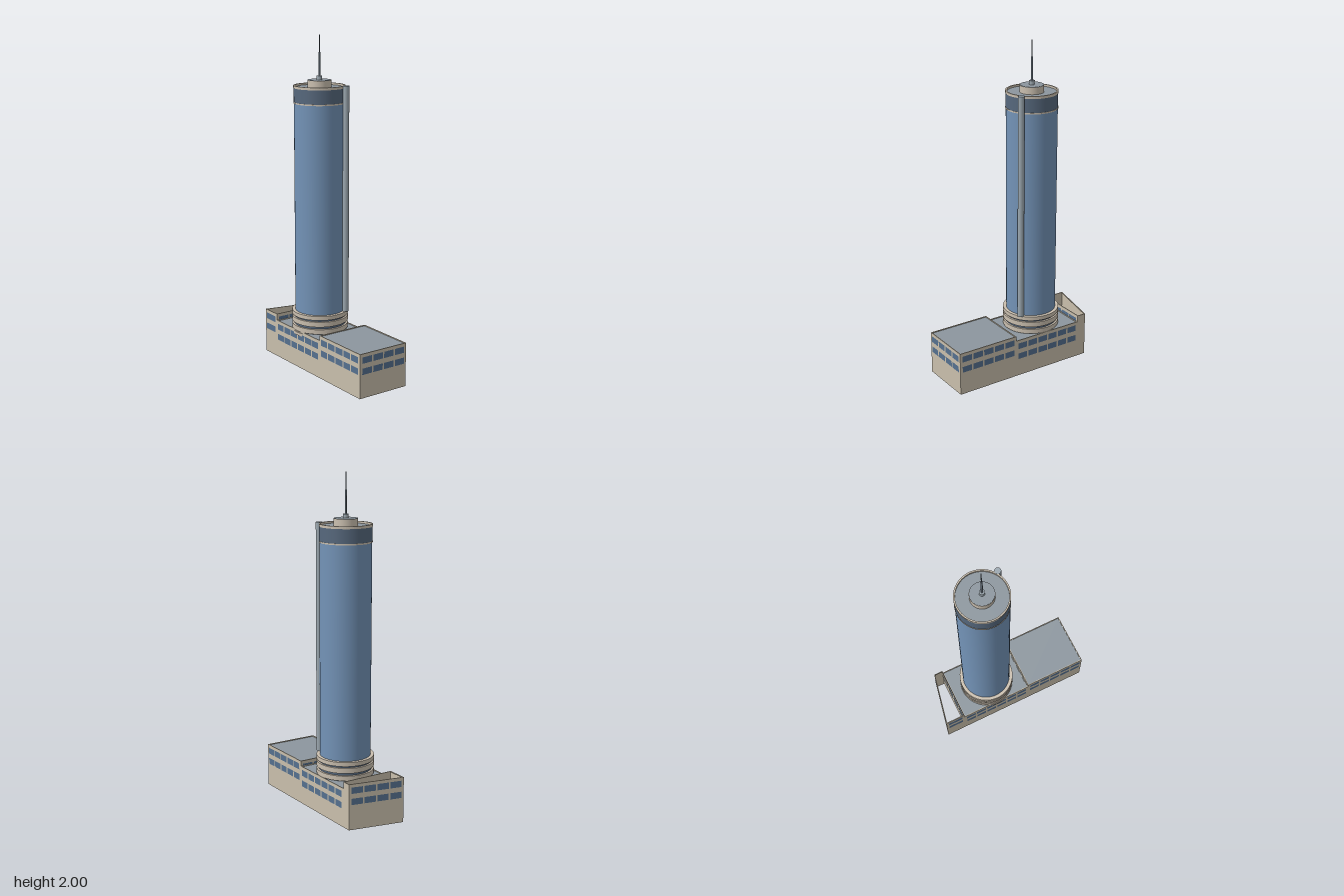
import * as THREE from 'three';

const mat = (name, color, side = THREE.FrontSide) => {
  const m = new THREE.MeshStandardMaterial({ color, side });
  m.name = name;
  return m;
};

export function createModel() {
  const wall = mat('tan wall', 0xc9bfac, THREE.DoubleSide);
  const trim = mat('pale trim', 0xcbc0b0, THREE.DoubleSide);
  const glass = mat('blue glass', 0x7393b7);
  const darkGlass = mat('dark glass', 0x56687d);
  const pane = mat('window blue', 0x55708f);
  const roofGrey = mat('roof grey', 0x8c969e, THREE.DoubleSide);
  const pipeGrey = mat('pipe grey', 0x9ca8b0);
  const steel = mat('mast steel', 0x66727d);

  const model = new THREE.Group();
  const add = (parent, name, geo, material, x = 0, y = 0, z = 0, ry = 0) => {
    const m = new THREE.Mesh(geo, material);
    m.name = name;
    m.position.set(x, y, z);
    m.rotation.y = ry;
    parent.add(m);
    return m;
  };

  // One wall between two plan corners, with coping and two rows of windows
  function buildWall(parent, [ax, az], [bx, bz], h) {
    const len = Math.hypot(bx - ax, bz - az);
    const side = new THREE.Group();
    side.name = 'wall';
    side.position.set((ax + bx) / 2, 0, (az + bz) / 2);
    side.rotation.y = Math.atan2(az - bz, bx - ax);
    parent.add(side);
    add(side, 'wallPanel', new THREE.PlaneGeometry(len, h), wall, 0, h / 2);
    add(side, 'coping', new THREE.BoxGeometry(len, 0.006, 0.005), wall, 0, h - 0.003, -0.0025);
    const gap = 0.01, usable = len - 0.03, n = Math.round(usable / 0.075);
    const w = (usable - gap * (n - 1)) / n;
    for (let i = 0; i < n; i++) {
      const x = -usable / 2 + w / 2 + i * (w + gap);
      for (const drop of [0.038, 0.105]) {
        add(side, 'window', new THREE.PlaneGeometry(w, 0.038), pane, x, h - drop, 0.002);
      }
    }
  }

  // A hollow block from its plan outline, with an optional flat roof
  function buildBlock(name, corners, h, roofed) {
    const block = new THREE.Group();
    block.name = name;
    model.add(block);
    corners.forEach((c, i) => buildWall(block, c, corners[(i + 1) % corners.length], h));
    if (roofed) {
      const shape = new THREE.Shape(corners.map(([x, z]) => new THREE.Vector2(x, -z)));
      const geo = new THREE.ShapeGeometry(shape).rotateX(-Math.PI / 2);
      add(block, 'flatRoof', geo, roofGrey, 0, h - 0.005, 0);
    }
  }

  const F = 0.162, B = -0.172;
  buildBlock('rightBlock', [[0.097, F], [0.49, F], [0.49, B], [0.097, B]], 0.266, true);
  buildBlock('middleBlock', [[-0.363, F], [0.097, F], [0.097, B], [-0.363, B]], 0.235, true);
  buildBlock('slantedCourt', [[-0.49, F], [-0.363, F], [-0.363, B], [-0.42, B]], 0.275, false);

  // Round tower
  const tower = new THREE.Group();
  tower.name = 'tower';
  tower.position.x = -0.127;
  model.add(tower);
  const drum = (name, r, y0, y1, material, seg = 64) =>
    add(tower, name, new THREE.CylinderGeometry(r, r, y1 - y0, seg), material, 0, (y0 + y1) / 2);

  drum('baseCore', 0.158, 0.209, 0.34, darkGlass);
  for (const [y0, y1] of [[0.207, 0.226], [0.235, 0.264], [0.28, 0.311], [0.322, 0.347]]) {
    drum('baseRing', 0.17, y0, y1, trim);
  }
  drum('shaft', 0.15, 0.345, 1.606, glass);
  drum('lowerTrim', 0.153, 1.605, 1.613, trim);
  drum('crownGlass', 0.151, 1.613, 1.695, darkGlass);
  drum('towerRoof', 0.146, 1.69, 1.698, roofGrey);

  // Rim around the recessed roof
  const rim = [[0.144, 1.695], [0.153, 1.695], [0.153, 1.71], [0.144, 1.71], [0.144, 1.695]];
  const rimGeo = new THREE.LatheGeometry(rim.map(([r, y]) => new THREE.Vector2(r, y)), 64).toNonIndexed();
  rimGeo.computeVertexNormals();
  add(tower, 'crownRim', rimGeo, trim);

  // Penthouse and mast
  drum('penthouse', 0.07, 1.696, 1.739, trim, 48);
  drum('penthouseRoof', 0.069, 1.735, 1.741, roofGrey, 48);
  drum('mastBase', 0.016, 1.74, 1.765, pipeGrey, 24);
  drum('lowerMast', 0.006, 1.765, 1.9, steel, 12);
  drum('upperMast', 0.003, 1.9, 2, steel, 8);

  // Service pipe up the back of the shaft
  add(tower, 'servicePipe', new THREE.CylinderGeometry(0.019, 0.019, 1.365, 24), pipeGrey, 0.137, 1.0295, -0.092);

  return model;
}
